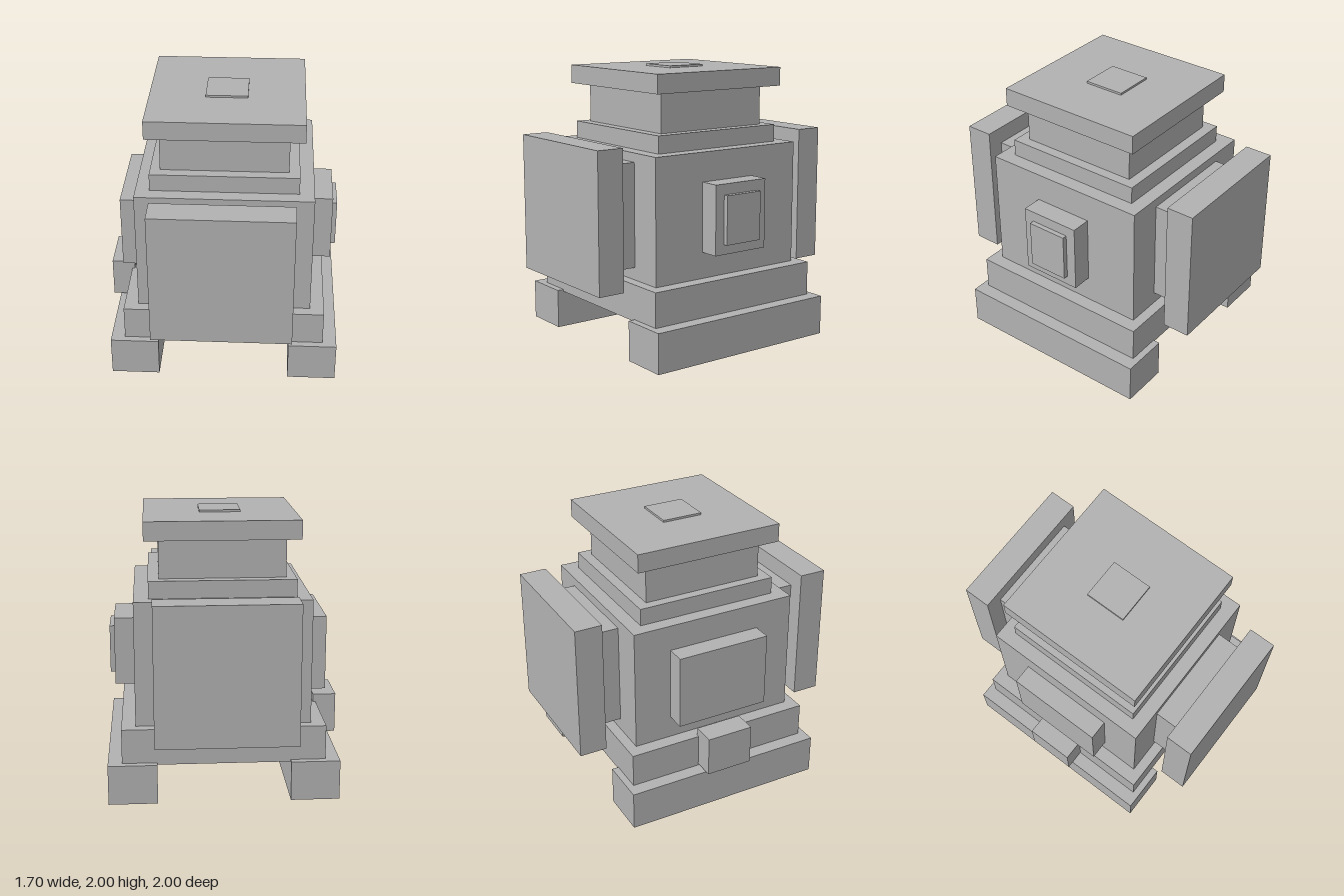
import * as THREE from 'three';

export function createModel() {
  const model = new THREE.Group();
  model.name = 'steppedMachine';
  const grey = new THREE.MeshStandardMaterial({ color: 0xb2b2b2 });
  grey.name = 'plain grey';

  // Box given by its lower and upper limits on each axis
  function block(name, [x0, x1], [y0, y1], [z0, z1]) {
    const mesh = new THREE.Mesh(new THREE.BoxGeometry(x1 - x0, y1 - y0, z1 - z0), grey);
    mesh.position.set((x0 + x1) / 2, (y0 + y1) / 2, (z0 + z1) / 2);
    mesh.name = name;
    model.add(mesh);
  }
  const span = (half) => [-half, half];

  // Runners under the base
  block('leftFoot', [0.5, 0.85], [0, 0.29], span(0.75));
  block('rightFoot', [-0.8, -0.45], [0, 0.29], span(0.75));

  // Central stack, from base to lid
  block('base', [-0.7, 0.75], [0.275, 0.54], span(0.7));
  block('body', [-0.6, 0.65], [0.54, 1.44], span(0.625));
  block('shoulder', [-0.5, 0.545], [1.44, 1.565], span(0.525));
  block('neck', [-0.43, 0.47], [1.565, 1.85], span(0.447));
  block('lid', [-0.525, 0.573], [1.85, 1.985], span(0.55));
  block('lidButton', [-0.127, 0.17], [1.985, 2], span(0.15));

  // Large panels on mounts, front and back
  for (const [side, s] of [['front', 1], ['back', -1]]) {
    const depth = (a, b) => (s > 0 ? [a, b] : [-b, -a]);
    block(side + 'Mount', [-0.35, 0.4], [0.63, 1.375], depth(0.625, 0.8));
    block(side + 'Panel', [-0.475, 0.52], [0.503, 1.503], depth(0.8, 1));
  }

  // Left side: stepped hatch
  block('leftHatch', [0.65, 0.797], [0.73, 1.23], span(0.223));
  block('leftHatchCover', [0.797, 0.832], [0.802, 1.153], span(0.15));

  // Right side: wide hatch and the small box on the base ledge
  block('rightHatch', [-0.74, -0.6], [0.703, 1.25], span(0.348));
  block('rightLedgeBox', [-0.85, -0.68], [0.303, 0.6], span(0.174));

  return model;
}
